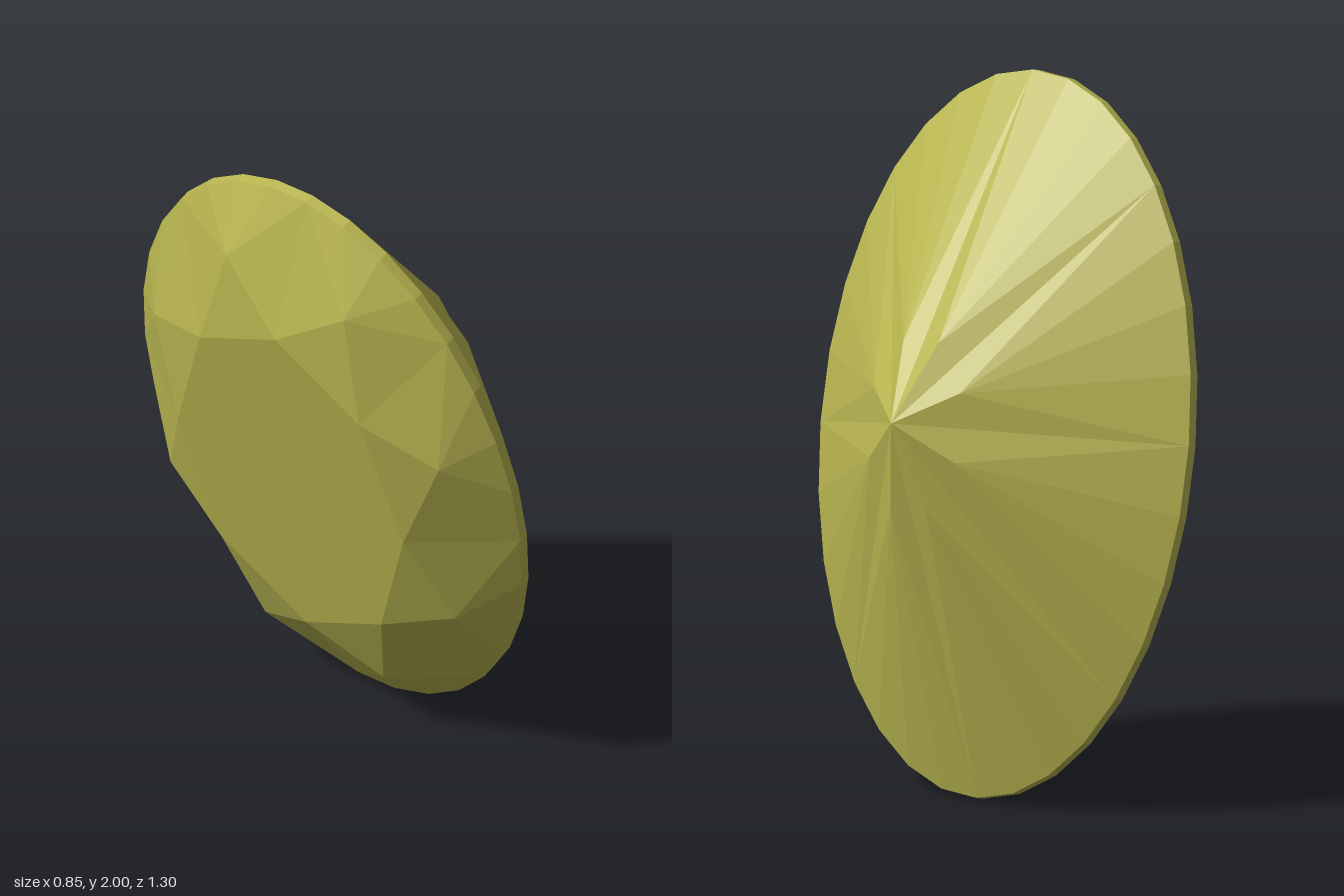
import * as THREE from 'three';

// Oval brilliant-cut gem: local xy is the girdle plane, +z runs to the culet.
const LONG = 1.026, SHORT = 0.67, SIDES = 32;

// Point at girdle step k (of 32), radius factor s and height z.
const at = (k, s, z) => {
  const t = (k / SIDES) * Math.PI * 2;
  return [LONG * s * Math.cos(t), SHORT * s * Math.sin(t), z];
};

// Rings of the cut
const tablePoint = k => at(k, 0.6, -0.21);
const crownPoint = k => at(k, 0.82, -0.145);
const upperGirdle = k => at(k, 1, -0.016);
const lowerGirdle = k => at(k, 1, 0.014);
const pavilionPoint = k => at(k, 0.25, 0.415);
const culet = [0, 0, 0.52];

export function createModel() {
  const group = new THREE.Group();
  group.name = 'gem';
  const material = new THREE.MeshStandardMaterial({ color: 0xb8b550, flatShading: true });

  // Builds one mesh from facets, each a convex polygon split into a fan.
  const addPart = (name, facets) => {
    const pos = [];
    for (const f of facets)
      for (let i = 1; i < f.length - 1; i++) pos.push(...f[0], ...f[i], ...f[i + 1]);
    const geo = new THREE.BufferGeometry();
    geo.setAttribute('position', new THREE.Float32BufferAttribute(pos, 3));
    geo.computeVertexNormals();
    const mesh = new THREE.Mesh(geo, material);
    mesh.name = name;
    group.add(mesh);
  };

  const table = [], crown = [], girdle = [], pavilion = [];
  for (let k = 0; k < SIDES; k += 4) {
    table.unshift(tablePoint(k));
    // Star and kite facets, then the upper halves on each side of the crown point
    const c = crownPoint(k + 2);
    crown.push([tablePoint(k), tablePoint(k + 4), c]);
    crown.push([tablePoint(k), c, upperGirdle(k), crownPoint(k - 2)]);
    // Pavilion mains, then the lower halves reaching almost to the culet
    const p = pavilionPoint(k + 2);
    pavilion.push([culet, pavilionPoint(k - 2), lowerGirdle(k), p]);
    for (let j = k; j < k + 4; j++) {
      crown.push([c, upperGirdle(j + 1), upperGirdle(j)]);
      pavilion.push([p, lowerGirdle(j), lowerGirdle(j + 1)]);
      girdle.push([upperGirdle(j), upperGirdle(j + 1), lowerGirdle(j + 1), lowerGirdle(j)]);
    }
  }
  addPart('table', [table]);
  addPart('crown', crown);
  addPart('girdle', girdle);
  addPart('pavilion', pavilion);

  // Tilt the stone so the culet points to the side
  const n = new THREE.Vector3(0.922, 0.217, -0.323).normalize();
  const a = new THREE.Vector3(-0.181, 0.998, 0.153);
  a.addScaledVector(n, -a.dot(n)).normalize();
  const b = new THREE.Vector3().crossVectors(n, a);
  group.quaternion.setFromRotationMatrix(new THREE.Matrix4().makeBasis(a, b, n));
  group.position.set(-0.05, 1, 0);

  const model = new THREE.Group();
  model.add(group);
  return model;
}
